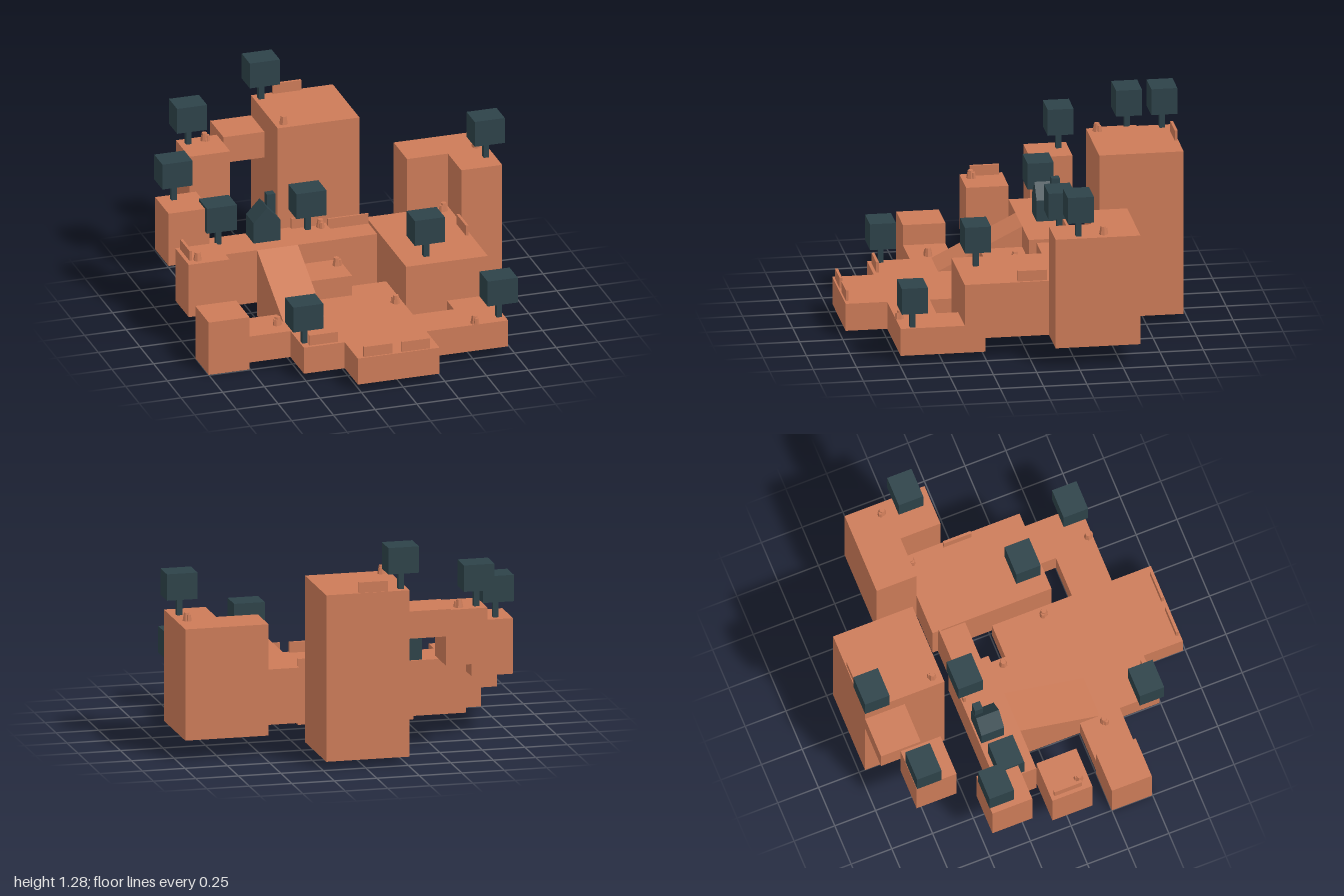
import * as THREE from 'three';

const clay = new THREE.MeshStandardMaterial({ color: 0xcc7b58 });
clay.name = 'terracotta';
const dark = new THREE.MeshStandardMaterial({ color: 0x2d4249 });
dark.name = 'dark slate';

function add(parent, name, geometry, material, x = 0, y = 0, z = 0) {
  const mesh = new THREE.Mesh(geometry, material);
  mesh.name = name;
  mesh.position.set(x, y, z);
  parent.add(mesh);
  return mesh;
}

// Box given by its limits on each axis
function block(parent, name, material, [x0, x1], [y0, y1], [z0, z1]) {
  return add(parent, name, new THREE.BoxGeometry(x1 - x0, y1 - y0, z1 - z0), material,
    (x0 + x1) / 2, (y0 + y1) / 2, (z0 + z1) / 2);
}

// Floor plan (x, z) extruded downwards from the top height
function slab(parent, name, plan, bottom, top) {
  const shape = new THREE.Shape(plan.map(([x, z]) => new THREE.Vector2(x, z)));
  const geo = new THREE.ExtrudeGeometry(shape, { depth: top - bottom, bevelEnabled: false });
  geo.rotateX(Math.PI / 2);
  return add(parent, name, geo, clay, 0, top, 0);
}

function tree(parent, x, y, z) {
  const g = new THREE.Group();
  g.name = 'tree';
  g.position.set(x, y, z);
  add(g, 'trunk', new THREE.BoxGeometry(0.032, 0.12, 0.032), dark, 0, 0.06, 0);
  add(g, 'canopy', new THREE.BoxGeometry(0.18, 0.155, 0.15), dark, 0, 0.182, 0);
  parent.add(g);
}

function rock(parent, x, y, z, turn) {
  const g = new THREE.Group();
  g.name = 'rock';
  g.position.set(x, y, z);
  g.rotation.y = turn;
  const big = new THREE.CylinderGeometry(0.016, 0.025, 0.048, 7).toNonIndexed();
  const small = new THREE.CylinderGeometry(0.013, 0.018, 0.036, 6).toNonIndexed();
  for (const geo of [big, small]) geo.computeVertexNormals();
  add(g, 'largeStone', big, clay, 0, 0.024, 0);
  add(g, 'smallStone', small, clay, 0.014, 0.018, 0.006);
  parent.add(g);
}

export function createModel() {
  const model = new THREE.Group();
  model.name = 'terracedVillage';

  // Lower terrace
  slab(model, 'lowerTerrace', [
    [-0.755, 0.495], [-0.51, 0.495], [-0.51, 0.74], [-0.265, 0.74], [-0.265, 0.98],
    [0.225, 0.98], [0.225, 0.74], [0.715, 0.74], [0.715, 0.25], [0.47, 0.25],
    [0.47, 0.495], [0.225, 0.495], [0.225, 0.005], [-0.02, 0.005], [-0.02, -0.115],
    [-0.51, -0.115], [-0.51, 0.25], [-0.755, 0.25],
  ], 0.043, 0.205);

  // Upper terraces, bridge and step
  block(model, 'upperTerraceRight', clay, [-0.755, -0.02], [0.125, 0.45], [-0.36, -0.115]);
  block(model, 'upperTerraceLeft', clay, [0.225, 0.715], [0.125, 0.45], [-0.36, 0.37]);
  block(model, 'bridge', clay, [-0.02, 0.225], [0.105, 0.43], [-0.325, -0.16]);
  block(model, 'step', clay, [-0.265, -0.02], [0.2, 0.327], [-0.115, 0.13]);

  // Ramp: triangular side profile swept across its width
  const profile = new THREE.Shape([[-0.37, 0.205], [0.115, 0.205], [0.115, 0.45]]
    .map(([a, b]) => new THREE.Vector2(a, b)));
  const ramp = new THREE.ExtrudeGeometry(profile, { depth: 0.245, bevelEnabled: false });
  ramp.rotateY(Math.PI / 2);
  add(model, 'ramp', ramp, clay, -0.51, 0, 0);

  // Tower, tall corner cliff and the ring of pillars
  block(model, 'tower', clay, [-0.265, 0.225], [0.043, 1.02], [-0.97, -0.483]);
  slab(model, 'cornerCliff', [
    [0.47, -0.605], [0.96, -0.605], [0.96, -0.115], [0.715, -0.115], [0.715, -0.36], [0.47, -0.36],
  ], 0.125, 0.778);
  block(model, 'ledge', clay, [-0.51, -0.265], [0.735, 0.895], [-0.97, -0.727]);
  const pillars = [
    [-0.755, 0.533, -0.85], [-1, 0.368, -0.483], [-1, 0.205, -0.115], [-1, 0, 0.25],
  ];
  for (const [x, y, z] of pillars) {
    block(model, 'pillar', clay, [x, x + 0.245], [y, y + 0.326], [z, z + 0.245]);
  }

  // Low walls: centre x, base y, centre z, length along x, length along z
  const walls = [
    [-0.14, 0.205, 0.962, 0.17, 0.016], [0.086, 0.205, 0.962, 0.17, 0.016],
    [-0.385, 0.205, 0.713, 0.17, 0.016], [-0.055, 1.02, -0.957, 0.17, 0.016],
    [-0.145, 0.45, -0.345, 0.17, 0.016], [0.102, 0.43, -0.319, 0.245, 0.012],
    [0.692, 0.45, -0.022, 0.016, 0.17], [-0.97, 0.53, -0.008, 0.016, 0.17],
  ];
  for (const [x, y, z, w, d] of walls) {
    add(model, 'lowWall', new THREE.BoxGeometry(w, 0.062, d), clay, x, y + 0.031, z);
  }

  // House with gabled roof and chimney
  const house = new THREE.Group();
  house.name = 'house';
  const gable = new THREE.Shape([[-0.081, 0], [0.081, 0], [0.081, 0.125], [0, 0.212], [-0.081, 0.125]]
    .map(([a, b]) => new THREE.Vector2(a, b)));
  add(house, 'gabledBody', new THREE.ExtrudeGeometry(gable, { depth: 0.14, bevelEnabled: false }),
    dark, 0, 0, -0.07);
  block(house, 'chimney', dark, [0.028, 0.077], [0.1, 0.252], [-0.065, -0.017]);
  house.position.set(-0.418, 0.45, -0.28);
  model.add(house);

  // Trees
  const trees = [
    [-0.225, 1.02, -0.915], [-0.703, 0.858, -0.787], [-0.91, 0.693, -0.425],
    [-0.692, 0.45, -0.275], [-0.144, 0.45, -0.31], [0.38, 0.45, 0.255],
    [0.907, 0.778, -0.255], [-0.484, 0.205, 0.667], [0.682, 0.205, 0.667],
  ];
  for (const t of trees) tree(model, ...t);

  // Rocks
  const rocks = [
    [-0.6, 0.858, -0.8], [-0.213, 1.02, -0.537], [0.9, 0.778, -0.4], [0.675, 0.45, -0.314],
    [-0.065, 0.45, -0.314], [-0.058, 0.327, -0.04], [-0.93, 0.53, 0.078],
    [0.184, 0.205, 0.306], [-0.55, 0.205, 0.382], [0.523, 0.205, 0.714],
  ];
  rocks.forEach(([x, y, z], i) => rock(model, x, y, z, i * 1.3));

  return model;
}
